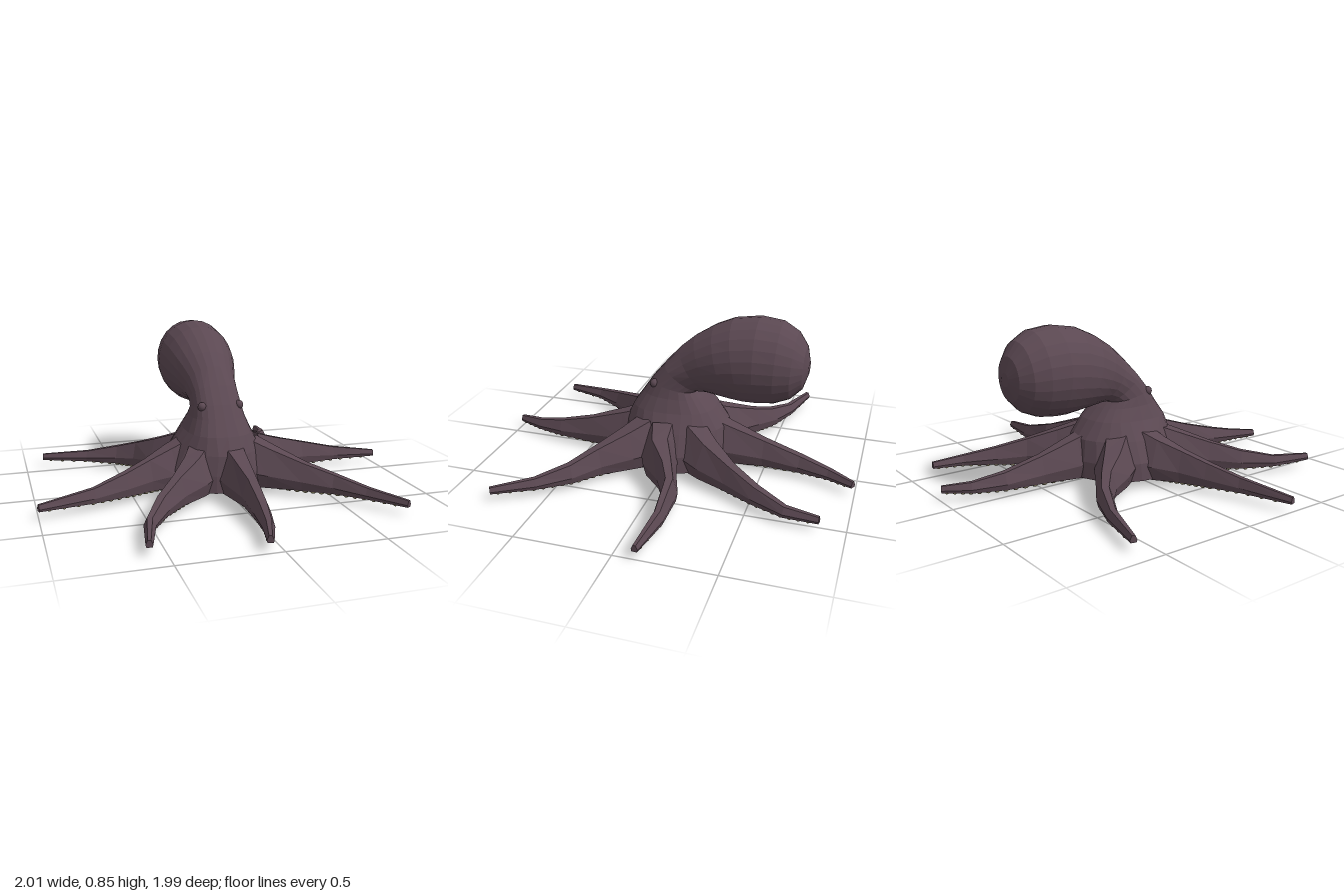
import * as THREE from 'three';
import { mergeGeometries } from 'three/addons/utils/BufferGeometryUtils.js';

const skin = new THREE.MeshStandardMaterial({ color: 0x5b4852 });
skin.name = 'plum skin';
const suckerTone = new THREE.MeshStandardMaterial({ color: 0x86805f });
suckerTone.name = 'olive suckers';

// Skins a list of closed rings and caps both ends, with faceted normals.
function loft(rings) {
  const pos = [];
  const tri = (a, b, c) => [a, b, c].forEach((p) => pos.push(p.x, p.y, p.z));
  const n = rings[0].length;
  const middle = (ring) => ring.reduce((s, p) => s.add(p), new THREE.Vector3()).divideScalar(n);
  const first = rings[0], last = rings[rings.length - 1];
  const start = middle(first), end = middle(last);
  for (let j = 0; j < n; j++) {
    const k = (j + 1) % n;
    tri(start, first[k], first[j]);
    for (let i = 0; i < rings.length - 1; i++) {
      const a = rings[i], b = rings[i + 1];
      tri(a[j], a[k], b[k]);
      tri(a[j], b[k], b[j]);
    }
    tri(end, last[j], last[k]);
  }
  const g = new THREE.BufferGeometry();
  g.setAttribute('position', new THREE.Float32BufferAttribute(pos, 3));
  g.computeVertexNormals();
  return g;
}

// Body rings: front y, front z, back y, back z, half width
const BODY = [
  [0.0, 0.03, 0.0, -0.03, 0.03],
  [0.012, 0.16, 0.012, -0.16, 0.16],
  [0.04, 0.3, 0.04, -0.31, 0.305],
  [0.13, 0.295, 0.13, -0.31, 0.295],
  [0.23, 0.28, 0.24, -0.29, 0.24],
  [0.32, 0.235, 0.33, -0.22, 0.178],
  [0.4, 0.18, 0.39, -0.16, 0.147],
  [0.47, 0.133, 0.42, -0.125, 0.134],
  [0.56, 0.06, 0.425, -0.14, 0.13],
  [0.65, -0.02, 0.415, -0.19, 0.142],
  [0.72, -0.1, 0.405, -0.25, 0.165],
  [0.785, -0.2, 0.395, -0.32, 0.19],
  [0.83, -0.3, 0.387, -0.39, 0.203],
  [0.852, -0.44, 0.387, -0.45, 0.207],
  [0.838, -0.56, 0.397, -0.54, 0.192],
  [0.79, -0.64, 0.43, -0.62, 0.16],
  [0.72, -0.688, 0.49, -0.68, 0.105],
  [0.64, -0.707, 0.57, -0.705, 0.035],
];
const CENTRE_X = -0.02;

function bodyGeometry() {
  const sides = 24;
  const soften = (v, e) => Math.sign(v) * Math.abs(v) ** e;
  return loft(BODY.map(([fy, fz, by, bz, w], i) => {
    const e = i > 4 && i < 9 ? 0.78 : 1; // squarer around the eyes
    return Array.from({ length: sides }, (_, j) => {
      const a = (j / sides) * Math.PI * 2;
      const f = (soften(Math.cos(a), e) + 1) / 2;
      return new THREE.Vector3(CENTRE_X + soften(Math.sin(a), e) * w,
        by + (fy - by) * f, bz + (fz - bz) * f);
    });
  }));
}

// Arm centre lines as x, z from the body to the tip
const ARMS = {
  frontArm: [[0.01, 0.19], [0.015, 0.3], [0.02, 0.5], [0.005, 0.69], [-0.02, 0.84], [-0.065, 0.985]],
  frontLeftArm: [[0.15, 0.13], [0.24, 0.21], [0.37, 0.33], [0.5, 0.43], [0.62, 0.57], [0.745, 0.76]],
  leftArm: [[0.19, 0.02], [0.3, 0], [0.42, -0.075], [0.53, -0.125], [0.75, -0.137], [1, -0.11]],
  backLeftArm: [[0.14, -0.15], [0.23, -0.25], [0.33, -0.39], [0.42, -0.54], [0.5, -0.7], [0.522, -0.87]],
  backArm: [[-0.01, -0.19], [0, -0.3], [0.01, -0.5], [0.03, -0.7], [0.075, -0.86], [0.147, -0.99]],
  backRightArm: [[-0.17, -0.14], [-0.28, -0.25], [-0.38, -0.36], [-0.48, -0.44], [-0.65, -0.52], [-0.9, -0.595]],
  rightArm: [[-0.2, 0.02], [-0.3, 0.05], [-0.42, 0.1], [-0.55, 0.155], [-0.72, 0.22], [-1, 0.29]],
  frontRightArm: [[-0.15, 0.15], [-0.22, 0.25], [-0.33, 0.37], [-0.44, 0.5], [-0.53, 0.66], [-0.58, 0.88]],
};
const WIDTH = [0.24, 0.185, 0.105, 0.085, 0.06, 0.034];
const BOTTOM = [0.035, 0.035, 0.035, 0.035, 0.037, 0.042];
// Cross-section: across, up
const SECTION = [[0.5, 0.35], [0.22, 1], [-0.22, 1], [-0.5, 0.35], [-0.4, 0], [0.4, 0]];

// Height of an arm's ridge falls with distance from the body axis
const ridge = (r) => 0.076 + 0.205 * (Math.max(0, 1 - r) / 0.8) ** 1.5;

const UP = new THREE.Vector3(0, 1, 0);
function armFrames(path) {
  const pts = path.map(([x, z]) => new THREE.Vector3(x, 0, z));
  return pts.map((p, i) => {
    const dir = pts[Math.min(i + 1, 5)].clone().sub(pts[Math.max(i - 1, 0)]).normalize();
    return { p, side: UP.clone().cross(dir) };
  });
}

function armGeometry(frames) {
  return loft(frames.map(({ p, side }, i) => SECTION.map(([u, v]) => {
    const q = p.clone().addScaledVector(side, u * WIDTH[i]);
    q.y = BOTTOM[i] + (ridge(p.length()) - BOTTOM[i]) * v;
    return q;
  })));
}

// Two staggered rows of shrinking suckers on the underside
function suckerGeometry(frames) {
  const parts = [];
  const count = 30;
  for (let k = 0; k < count; k++) {
    const t = 1.05 + (k / count) * 3.9;
    const i = Math.floor(t), f = t - i;
    const mix = (list) => THREE.MathUtils.lerp(list[i], list[i + 1], f);
    const r = 0.022 - 0.013 * (k / count);
    const offset = (k % 2 ? 1 : -1) * Math.min(0.024, mix(WIDTH) * 0.22);
    const q = frames[i].p.clone().lerp(frames[i + 1].p, f)
      .addScaledVector(frames[i].side.clone().lerp(frames[i + 1].side, f), offset);
    parts.push(new THREE.SphereGeometry(r, 8, 5).scale(1, 0.75, 1)
      .translate(q.x, mix(BOTTOM), q.z));
  }
  return mergeGeometries(parts);
}

export function createModel() {
  const model = new THREE.Group();
  model.name = 'octopus';
  const add = (name, geometry, material, parent = model) => {
    const mesh = new THREE.Mesh(geometry, material);
    mesh.name = name;
    parent.add(mesh);
    return mesh;
  };

  // Head, mantle and underside
  add('body', bodyGeometry(), skin);

  // Eyes, set into the head
  for (const s of [-1, 1]) {
    add(s > 0 ? 'leftEye' : 'rightEye', new THREE.SphereGeometry(0.024, 10, 8), skin)
      .position.set(CENTRE_X + s * 0.102, 0.46, 0.1);
  }

  // Arms with suckers
  for (const [name, path] of Object.entries(ARMS)) {
    const arm = new THREE.Group();
    arm.name = name;
    const frames = armFrames(path);
    add('limb', armGeometry(frames), skin, arm);
    add('suckers', suckerGeometry(frames), suckerTone, arm);
    model.add(arm);
  }
  return model;
}
